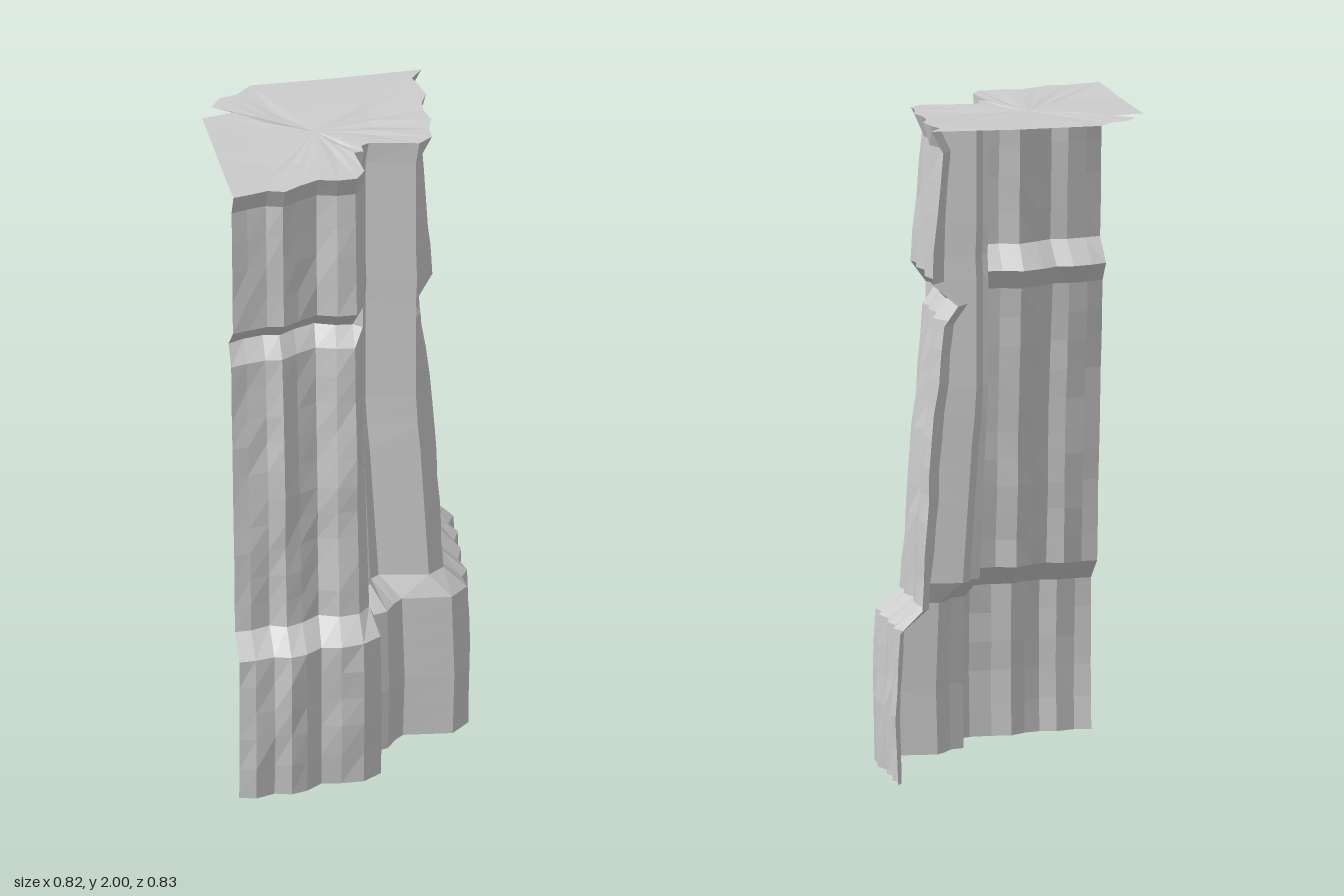
import * as THREE from 'three';

// Plan of the cliff face, left end to back end: [x, z at the foot, x, z at the crown]
const PLAN = [
  [-0.41, 0.405, -0.41, 0.30], [-0.36, 0.41, -0.36, 0.29], [-0.30, 0.395, -0.30, 0.275],
  [-0.25, 0.41, -0.25, 0.29], [-0.20, 0.39, -0.20, 0.26], [-0.15, 0.355, -0.14, 0.232],
  [-0.09, 0.365, -0.08, 0.247], [-0.02, 0.36, -0.02, 0.245], [0.04, 0.32, 0.01, 0.20],
  [0.045, 0.18, 0.0, 0.08], [0.09, 0.165, 0.03, 0.075], [0.12, 0.12, 0.03, 0.04],
  [0.15, 0.09, 0.055, 0.025], [0.30, 0.105, 0.205, 0.055], [0.36, 0.045, 0.25, 0.02],
  [0.36, -0.02, 0.25, -0.03], [0.375, -0.06, 0.268, -0.09], [0.37, -0.13, 0.255, -0.15],
  [0.38, -0.20, 0.258, -0.20], [0.37, -0.25, 0.28, -0.25], [0.39, -0.31, 0.27, -0.31],
  [0.375, -0.36, 0.257, -0.36], [0.405, -0.41, 0.295, -0.41],
];
const NOTCH_START = 8, NOTCH_END = 13;

// Inward lean by height: [y, lean], with ledges at the jumps
const LEAN = [[0, 0.02], [0.2, -0.03], [0.465, 0.05], [0.53, 0.72], [0.95, 0.97], [1.4, 1.37],
  [1.46, 1.75], [1.53, 1.07], [1.93, 1.28], [2, 1]];

// Ragged back outline of the top, from the back end round to the left end
const BACK = [[0.03, -0.41], [-0.23, -0.41], [-0.28, -0.36], [-0.335, -0.345],
  [-0.37, -0.295], [-0.31, -0.25], [-0.36, -0.238], [-0.41, -0.23], [-0.41, 0.03]];

let seed = 7;
const jitter = (amount) => {
  seed = (seed * 16807) % 2147483647;
  return (seed / 2147483647 - 0.5) * 2 * amount;
};

// Join rows of points into a faceted sheet
function sheet(rows, material, name) {
  const positions = [], index = [], n = rows[0].length;
  rows.forEach((row) => row.forEach((p) => positions.push(...p)));
  for (let j = 0; j < rows.length - 1; j++) {
    for (let i = 0; i < n - 1; i++) {
      const a = j * n + i, b = a + 1, c = a + n, d = c + 1;
      index.push(a, b, d, a, d, c);
    }
  }
  const indexed = new THREE.BufferGeometry();
  indexed.setAttribute('position', new THREE.Float32BufferAttribute(positions, 3));
  indexed.setIndex(index);
  const geometry = indexed.toNonIndexed();
  geometry.computeVertexNormals();
  const mesh = new THREE.Mesh(geometry, material);
  mesh.name = name;
  return mesh;
}

// Heights, with each tall tier cut into short courses
function courses() {
  const rows = [];
  LEAN.forEach(([y, lean], k) => {
    rows.push([y, lean]);
    if (k === LEAN.length - 1) return;
    const [y2, lean2] = LEAN[k + 1], steps = Math.max(1, Math.round((y2 - y) / 0.09));
    for (let s = 1; s < steps; s++) {
      rows.push([y + (y2 - y) * s / steps, lean + (lean2 - lean) * s / steps]);
    }
  });
  return rows;
}

// One ring of the cliff face; the roughness changes slowly with height
function ring(y, lean, rough) {
  return PLAN.map(([x0, z0, x1, z1], i) => {
    const inNotch = i >= NOTCH_START && i <= NOTCH_END;
    const f = inNotch ? Math.min(lean, 1.1) : lean;
    if (y < 2) rough[i] = rough[i] * 0.6 + jitter(inNotch ? 0.002 : 0.005);
    else rough[i] = 0;
    const onFront = i < NOTCH_START, onSide = i > NOTCH_END;
    return [
      x0 + (x1 - x0) * f + (onSide ? rough[i] : 0),
      y,
      z0 + (z1 - z0) * f + (onFront ? rough[i] : 0),
    ];
  });
}

export function createModel() {
  const group = new THREE.Group();
  group.name = 'cliffCorner';
  const stone = new THREE.MeshStandardMaterial({ color: 0xcccccc });
  stone.name = 'paleStone';
  stone.flatShading = true;
  stone.side = THREE.DoubleSide;

  // Cliff face, open at the back and underneath
  const rough = PLAN.map(() => 0);
  const rows = courses().map(([y, lean]) => ring(y, lean, rough));
  group.add(sheet(rows, stone, 'cliffFace'));

  // Top, gently uneven, drawn in towards one point
  const rim = [...rows[rows.length - 1], ...BACK.map(([x, z]) => [x, 1.995, z])];
  rim.push(rim[0]);
  const centre = [-0.09, 1.992, -0.09];
  const inner = rim.map((p) => [
    centre[0] + (p[0] - centre[0]) * 0.5, 1.992 + jitter(0.006), centre[2] + (p[2] - centre[2]) * 0.5,
  ]);
  inner[inner.length - 1] = inner[0];
  group.add(sheet([rim, inner, rim.map(() => centre)], stone, 'cliffTop'));

  return group;
}
